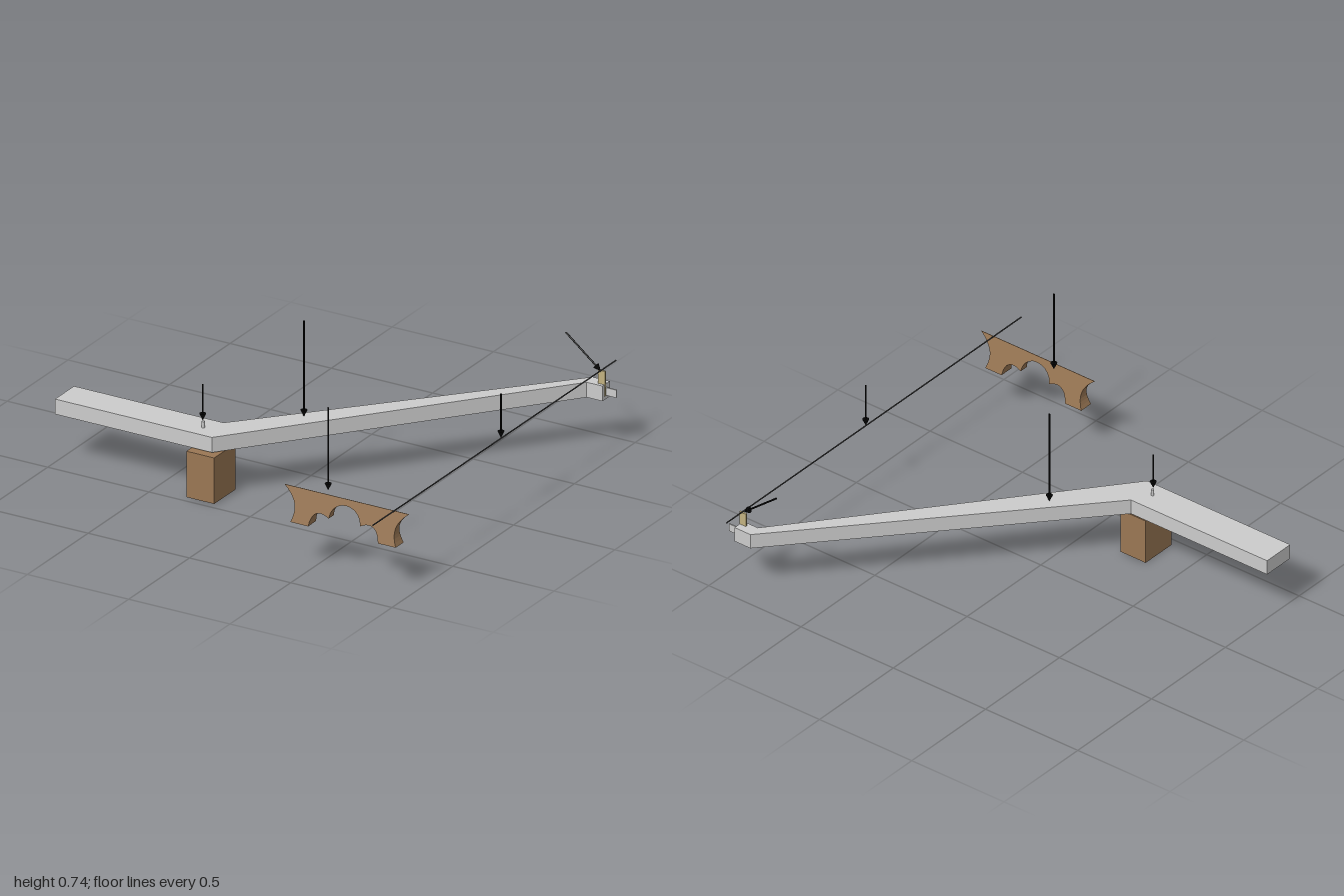
import * as THREE from 'three';

const mat = (color) => new THREE.MeshStandardMaterial({ color });
const GREY = mat(0xcccccc), WOOD = mat(0x9a7754), BRASS = mat(0xc2b280);
const WIRE = mat(0x444444), BLACK = mat(0x050505);

function add(parent, name, geometry, material, x = 0, y = 0, z = 0) {
  const mesh = new THREE.Mesh(geometry, material);
  mesh.name = name;
  mesh.position.set(x, y, z);
  parent.add(mesh);
  return mesh;
}

// Cranked lever: plan outline in (x, z), extruded upwards
function leverGeometry() {
  const plan = [
    [-1, 0.44], [-0.225, 0.44], [0.84, -0.868], [0.918, -0.868],
    [0.918, -0.928], [0.832, -0.928], [-0.262, 0.283], [-1, 0.283],
  ];
  const shape = new THREE.Shape(plan.map(([x, z]) => new THREE.Vector2(x, -z)));
  return new THREE.ExtrudeGeometry(shape, { depth: 0.07, bevelEnabled: false })
    .rotateX(-Math.PI / 2);
}

// Arched bridge, tapering in thickness to a sharp top edge
function bridgeGeometry() {
  const top = 0.153, s = new THREE.Shape();
  s.moveTo(-0.307, top);
  s.bezierCurveTo(-0.24, 0.1, -0.235, 0.06, -0.26, 0);
  s.lineTo(-0.172, 0);
  s.bezierCurveTo(-0.165, 0.065, -0.125, 0.08, -0.078, 0.053);
  s.bezierCurveTo(-0.07, 0.148, 0.07, 0.148, 0.078, 0.053);
  s.bezierCurveTo(0.125, 0.08, 0.165, 0.065, 0.172, 0);
  s.lineTo(0.26, 0);
  s.bezierCurveTo(0.235, 0.06, 0.24, 0.1, 0.307, top);
  s.closePath();
  const g = new THREE.ExtrudeGeometry(s, { depth: 1, bevelEnabled: false, curveSegments: 10 });
  const p = g.attributes.position;
  for (let i = 0; i < p.count; i++) {
    const half = 0.001 + 0.032 * (1 - p.getY(i) / top);
    p.setZ(i, (p.getZ(i) * 2 - 1) * half);
  }
  g.computeVertexNormals();
  return g;
}

// Pointer arrow from a start point to its tip
function arrow(name, from, to) {
  const a = new THREE.Vector3(...from), b = new THREE.Vector3(...to);
  const dir = b.clone().sub(a), length = dir.length(), head = 0.032;
  const group = new THREE.Group();
  group.name = name;
  add(group, 'shaft', new THREE.CylinderGeometry(0.004, 0.004, length - head, 10), BLACK,
    0, (length - head) / 2);
  add(group, 'head', new THREE.ConeGeometry(0.015, head, 14), BLACK, 0, length - head / 2);
  group.position.copy(a);
  group.quaternion.setFromUnitVectors(new THREE.Vector3(0, 1, 0), dir.normalize());
  return group;
}

export function createModel() {
  const model = new THREE.Group();
  model.name = 'keyAction';

  // Lever on its balance block, with the pivot pin
  add(model, 'keyLever', leverGeometry(), GREY, 0, 0.223, 0);
  add(model, 'balanceBlock', new THREE.BoxGeometry(0.137, 0.213, 0.175), WOOD, -0.268, 0.1065, 0.377);
  add(model, 'balancePin', new THREE.CylinderGeometry(0.007, 0.007, 0.2, 12), GREY, -0.31, 0.222, 0.37);

  // Striking blade and guide slip at the far end of the lever
  add(model, 'tangent', new THREE.BoxGeometry(0.035, 0.115, 0.009), BRASS, 0.903, 0.2975, -0.888);
  add(model, 'guideSlip', new THREE.BoxGeometry(0.1, 0.036, 0.006), GREY, 0.92, 0.258, -0.898);

  // String over the bridge
  add(model, 'bridge', bridgeGeometry(), WOOD, 0.668, 0.203, 0.817);
  add(model, 'string', new THREE.CylinderGeometry(0.003, 0.003, 2, 8).rotateX(Math.PI / 2), WIRE,
    0.905, 0.359, 0);

  // Pointer arrows
  model.add(
    arrow('balancePinArrow', [-0.31, 0.495, 0.374], [-0.31, 0.328, 0.374]),
    arrow('keyLeverArrow', [0, 0.74, 0.058], [0, 0.295, 0.058]),
    arrow('bridgeArrow', [0.553, 0.74, 0.78], [0.553, 0.357, 0.78]),
    arrow('stringArrow', [0.905, 0.565, -0.055], [0.905, 0.361, -0.055]),
    arrow('tangentArrow', [0.73, 0.495, -0.88], [0.903, 0.355, -0.88]),
  );
  return model;
}
